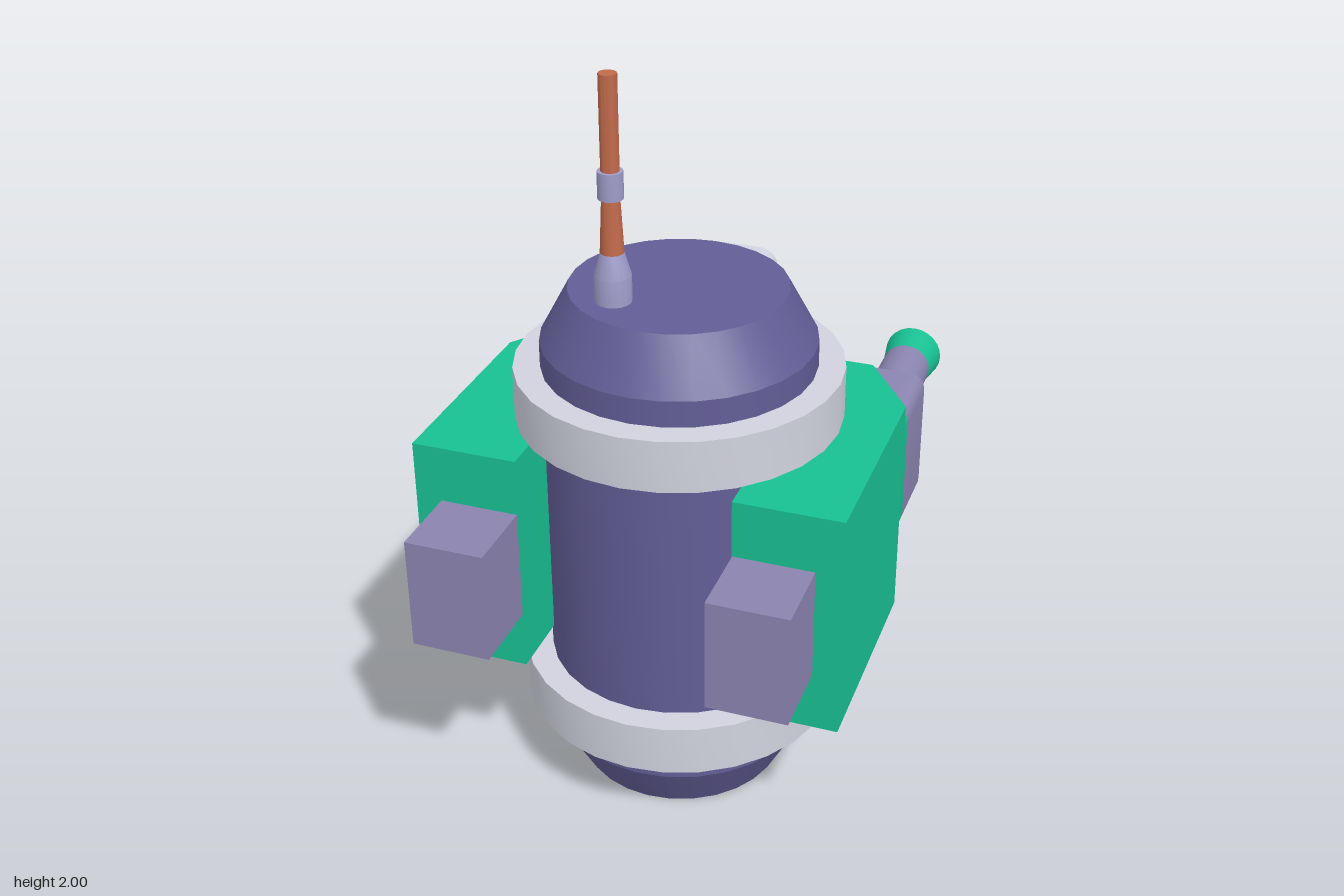
import * as THREE from 'three';
import { toCreasedNormals } from 'three/addons/utils/BufferGeometryUtils.js';

const mat = (color) => new THREE.MeshStandardMaterial({ color });
const BODY = mat(0x625d96), GREEN = mat(0x18c092), MAUVE = mat(0x8a84b0), SILVER = mat(0xd0d2de);
const COPPER = mat(0xc26a4c), DARK = mat(0x303238), LILAC = mat(0xa09cca);
const CX = 0.02, CZ = 0.275; // body axis

export function createModel() {
  const root = new THREE.Group();

  const add = (name, geometry, material, x = 0, y = 0, z = 0, parent = root) => {
    const mesh = new THREE.Mesh(geometry, material);
    mesh.name = name;
    mesh.position.set(x, y, z);
    parent.add(mesh);
    return mesh;
  };
  // box from its min and max corners
  const box = (name, m, [x0, y0, z0], [x1, y1, z1], parent = root) =>
    add(name, new THREE.BoxGeometry(Math.abs(x1 - x0), y1 - y0, z1 - z0), m,
      (x0 + x1) / 2, (y0 + y1) / 2, (z0 + z1) / 2, parent);
  const lathe = (points, segments) => toCreasedNormals(
    new THREE.LatheGeometry(points.map(([r, y]) => new THREE.Vector2(r, y)), segments), 0.4);
  const extrude = (shape, depth) => toCreasedNormals(
    new THREE.ExtrudeGeometry(shape, { depth, bevelEnabled: false, curveSegments: 6 }), 0.6);

  // Canister with tapered ends, and two bands around it
  add('canister', lathe([[0, 0], [0.28, 0], [0.355, 0.14], [0.355, 1.28], [0.28, 1.42], [0, 1.42]], 28),
    BODY, CX, 0, CZ);
  for (const [name, y] of [['lowerBand', 0.215], ['upperBand', 1.07]])
    add(name, lathe([[0.34, 0], [0.425, 0], [0.425, 0.14], [0.34, 0.14]], 28), SILVER, CX, y, CZ);

  // Antenna
  const antenna = new THREE.Group();
  antenna.name = 'antenna';
  antenna.position.set(-0.1, 0, 0.415);
  root.add(antenna);
  const rod = (name, m, points) => add(name, lathe(points, 16), m, 0, 0, 0, antenna);
  rod('antennaBase', LILAC, [[0, 1.41], [0.047, 1.41], [0.047, 1.49], [0.03, 1.55], [0, 1.55]]);
  rod('antennaTaper', COPPER, [[0, 1.55], [0.03, 1.55], [0.021, 1.73], [0, 1.73]]);
  rod('antennaCollar', LILAC, [[0, 1.69], [0.032, 1.69], [0.032, 1.76], [0, 1.76]]);
  rod('antennaRod', COPPER, [[0, 1.74], [0.023, 1.74], [0.023, 2], [0, 2]]);

  // Stadium-shaped loop on the rear of the top slope
  const stadium = (target, halfLength, r) => {
    target.absarc(halfLength, 0, r, -Math.PI / 2, Math.PI / 2);
    target.absarc(-halfLength, 0, r, Math.PI / 2, Math.PI * 1.5);
    target.closePath();
    return target;
  };
  const loop = stadium(new THREE.Shape(), 0.053, 0.05);
  loop.holes.push(stadium(new THREE.Path(), 0.053, 0.028));
  add('topLoop', extrude(loop, 0.09), SILVER, 0.07, 1.34, -0.07);

  // Rear control panel
  box('controlPanel', DARK, [-0.21, 0.46, -0.15], [0.21, 1.02, 0.04]);
  box('panelScreen', SILVER, [0.035, 0.675, -0.18], [0.175, 0.9, -0.14]);
  box('panelKey', SILVER, [0.035, 0.535, -0.165], [0.175, 0.62, -0.14]);
  for (const y of [0.535, 0.675, 0.815])
    box('panelKey', SILVER, [-0.175, y, -0.165], [-0.05, y + 0.085, -0.14]);

  // Mirrored thruster units
  for (const s of [1, -1]) {
    const unit = new THREE.Group();
    unit.name = s > 0 ? 'leftUnit' : 'rightUnit';
    root.add(unit);

    // housing with its outer rear corner cut off; shape y is -z
    const plan = new THREE.Shape([[0.283, -0.64], [0.565, -0.64], [0.565, -0.05], [0.425, 0.15], [0.283, 0.15]]
      .map(([x, y]) => new THREE.Vector2(s * x, y)));
    add('housing', extrude(plan, 0.62).rotateX(-Math.PI / 2), GREEN, 0, 0.43, 0, unit);
    box('frontBlock', MAUVE, [s * 0.285, 0.59, 0.63], [s * 0.495, 0.895, 0.845], unit);

    // rear block with rounded outer edges
    const x0 = s * 0.283, x1 = s * 0.53, xr = s * 0.48, y0 = 0.55, y1 = 0.935, r = 0.05;
    const section = new THREE.Shape();
    section.moveTo(x0, y0);
    section.lineTo(xr, y0);
    section.quadraticCurveTo(x1, y0, x1, y0 + r);
    section.lineTo(x1, y1 - r);
    section.quadraticCurveTo(x1, y1, xr, y1);
    section.lineTo(x0, y1);
    section.closePath();
    add('rearBlockRoot', extrude(section, 0.18), GREEN, 0, 0, -0.15, unit);
    add('rearBlock', extrude(section, 0.2), MAUVE, 0, 0, -0.35, unit);

    // barrel pointing backwards: lathe y runs along -z
    const tube = (name, m, points) =>
      add(name, lathe(points, 24).rotateX(-Math.PI / 2), m, s * 0.388, 0.74, 0, unit);
    tube('barrelInner', GREEN, [[0.072, 0.34], [0.072, 0.55]]);
    tube('barrelMiddle', MAUVE, [[0.072, 0.55], [0.072, 0.75]]);
    tube('muzzle', GREEN, [[0.072, 0.75], [0.086, 0.845], [0.05, 0.845], [0.05, 0.81]]);
    tube('bore', DARK, [[0.051, 0.83], [0, 0.83]]);
  }
  return root;
}
